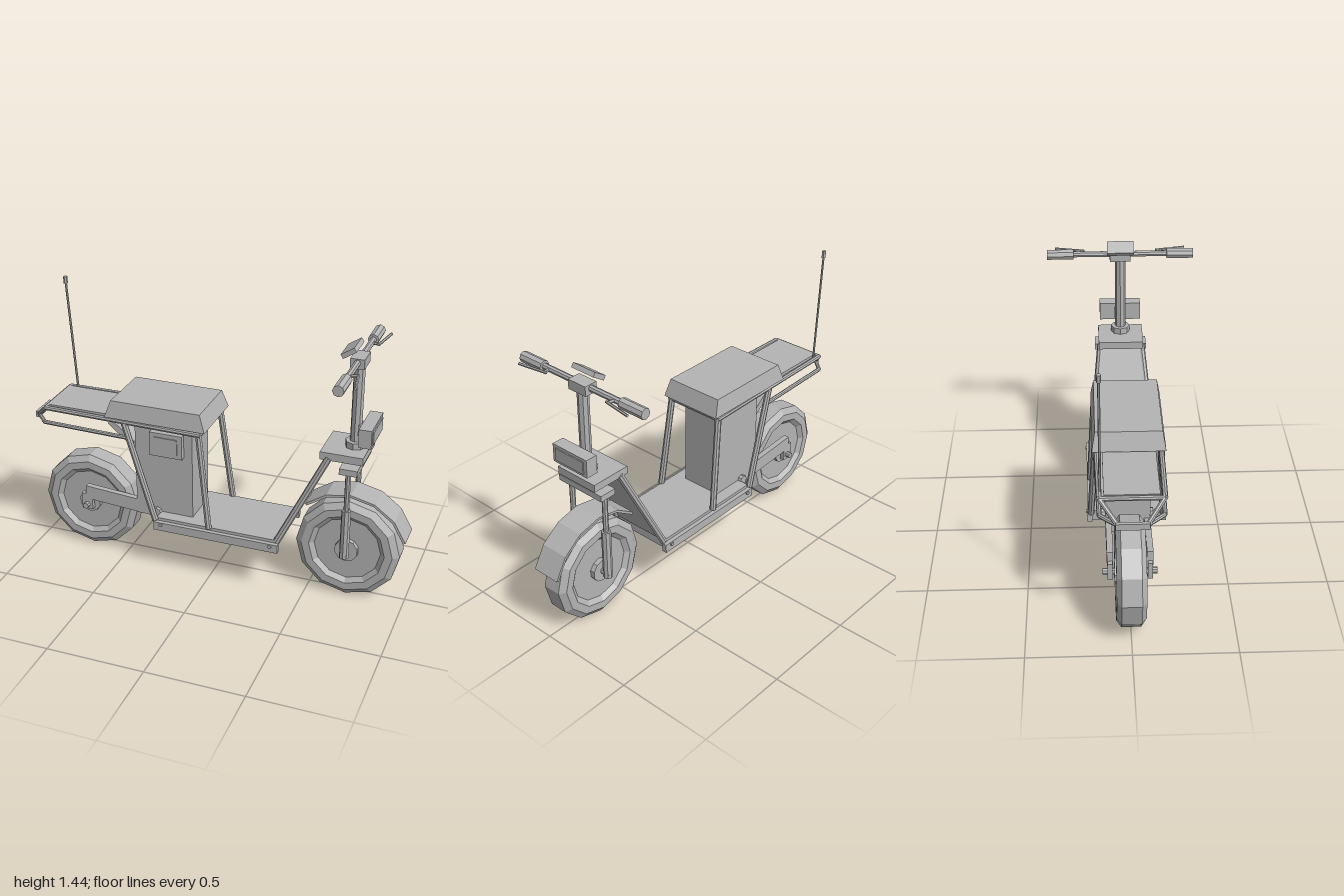
import * as THREE from 'three';

const grey = new THREE.MeshStandardMaterial({ color: 0xb4b4b4, flatShading: true });
grey.name = 'plain grey';

export function createModel() {
  const model = new THREE.Group();
  model.name = 'scooter';

  const add = (name, geo, parent = model) => {
    const m = new THREE.Mesh(geo, grey);
    m.name = name;
    parent.add(m);
    return m;
  };

  // Box given by its limits on each axis
  const box = (name, x0, x1, y0, y1, z0, z1) => {
    const m = add(name, new THREE.BoxGeometry(x1 - x0, y1 - y0, z1 - z0));
    m.position.set((x0 + x1) / 2, (y0 + y1) / 2, (z0 + z1) / 2);
    return m;
  };

  // Box whose top is scaled by sx and sz
  const tapered = (w, h, d, sx, sz) => {
    const g = new THREE.BoxGeometry(w, h, d);
    const p = g.attributes.position;
    for (let i = 0; i < p.count; i++) {
      if (p.getY(i) > 0) {
        p.setX(i, p.getX(i) * sx);
        p.setZ(i, p.getZ(i) * sz);
      }
    }
    return g;
  };

  // Round bar between two points
  const bar = (name, a, b, r, sides = 8) => {
    const from = new THREE.Vector3(...a), to = new THREE.Vector3(...b);
    const dir = to.clone().sub(from);
    const m = add(name, new THREE.CylinderGeometry(r, r, dir.length(), sides));
    m.position.copy(from).add(to).multiplyScalar(0.5);
    m.quaternion.setFromUnitVectors(new THREE.Vector3(0, 1, 0), dir.normalize());
    return m;
  };

  // Wheels: faceted tyre, recessed disc, hub and axle
  const tyreProfile = [
    [0.165, -0.045], [0.195, -0.07], [0.235, -0.07], [0.267, -0.047],
    [0.267, 0.047], [0.235, 0.07], [0.195, 0.07], [0.165, 0.045],
  ].map(([r, y]) => new THREE.Vector2(r, y));
  for (const [name, x] of [['rearWheel', -0.71], ['frontWheel', 0.7]]) {
    const wheel = new THREE.Group();
    wheel.name = name;
    wheel.position.set(x, 0.267, 0);
    wheel.rotation.x = Math.PI / 2;
    add('tyre', new THREE.LatheGeometry(tyreProfile, 12), wheel);
    add('rimDisc', new THREE.CylinderGeometry(0.175, 0.175, 0.1, 12), wheel);
    add('hub', new THREE.CylinderGeometry(0.06, 0.06, 0.15, 10), wheel);
    add('axle', new THREE.CylinderGeometry(0.016, 0.016, 0.26, 8), wheel);
    model.add(wheel);
  }

  // Front mudguard: five-sided arc strip
  const arc = new THREE.Shape();
  const start = THREE.MathUtils.degToRad(18), end = THREE.MathUtils.degToRad(135);
  for (let i = 0; i <= 11; i++) {
    const outer = i < 6;
    const t = (outer ? i : 11 - i) / 5;
    const a = start + (end - start) * t, r = outer ? 0.31 : 0.297;
    const x = 0.7 + r * Math.cos(a), y = 0.275 + r * Math.sin(a);
    if (i === 0) arc.moveTo(x, y); else arc.lineTo(x, y);
  }
  const guard = new THREE.ExtrudeGeometry(arc, { depth: 0.15, bevelEnabled: false });
  add('frontMudguard', guard).position.z = -0.075;

  // Steering column, clamps and handlebar
  box('lowerForkClamp', 0.66, 0.75, 0.725, 0.757, -0.14, 0.14);
  box('headPlate', 0.556, 0.77, 0.78, 0.82, -0.12, 0.12);
  bar('headCollar', [0.7, 0.82, 0], [0.7, 0.853, 0], 0.05);
  bar('steererLower', [0.7, 0.74, 0], [0.7, 0.8, 0], 0.03);
  bar('steeringColumn', [0.7, 0.84, 0], [0.7, 1.27, 0], 0.028);
  box('handlebarClamp', 0.665, 0.735, 1.245, 1.295, -0.055, 0.055);
  bar('handlebar', [0.7, 1.275, -0.38], [0.7, 1.275, 0.38], 0.016);
  const display = add('displayPanel', new THREE.BoxGeometry(0.075, 0.024, 0.14));
  display.position.set(0.66, 1.323, 0);
  display.rotation.z = 0.58;

  // Headlight with a raised lens
  box('headlight', 0.738, 0.802, 0.87, 0.965, -0.11, 0.11);
  box('headlightLens', 0.802, 0.808, 0.885, 0.95, -0.09, 0.09);
  box('headlightBracket', 0.715, 0.74, 0.89, 0.945, -0.03, 0.03);

  // Floor deck and tray beneath
  box('floorDeck', -0.28, 0.36, 0.255, 0.312, -0.175, 0.175);
  box('underTray', -0.235, 0.283, 0.232, 0.256, -0.13, 0.13);

  // Leg shield
  const shield = add('legShield', tapered(0.018, 0.53, 0.32, 1, 0.68));
  shield.position.set(0.475, 0.545, 0);
  shield.rotation.z = -Math.atan2(0.23, 0.47);

  // Battery case with a side hatch, and seat
  box('batteryCase', -0.417, -0.105, 0.28, 0.82, -0.11, 0.11);
  box('caseHatch', -0.325, -0.15, 0.65, 0.78, 0.105, 0.14);
  box('hatchPanel', -0.3, -0.175, 0.672, 0.758, 0.14, 0.146);
  add('seat', tapered(0.54, 0.09, 0.345, 0.885, 0.91)).position.set(-0.285, 0.882, 0);
  box('seatBase', -0.48, -0.05, 0.805, 0.84, -0.14, 0.14);

  // Parts mirrored on both sides
  for (const s of [1, -1]) {
    bar('forkLower', [0.7, 0.25, 0.11 * s], [0.7, 0.52, 0.11 * s], 0.024);
    bar('forkUpper', [0.7, 0.5, 0.11 * s], [0.7, 0.74, 0.11 * s], 0.014);
    bar('handGrip', [0.7, 1.275, 0.247 * s], [0.7, 1.275, 0.387 * s], 0.028);
    bar('brakeLever', [0.74, 1.277, 0.19 * s], [0.768, 1.28, 0.345 * s], 0.007, 6);
    bar('leverMount', [0.7, 1.275, 0.21 * s], [0.745, 1.277, 0.2 * s], 0.008, 6);
    bar('shieldTube', [0.365, 0.3, 0.165 * s], [0.6, 0.79, 0.11 * s], 0.018);
    bar('seatTubeFront', [0.008, 0.31, 0.18 * s], [-0.053, 0.815, 0.155 * s], 0.017);
    bar('seatTubeRear', [-0.285, 0.3, 0.18 * s], [-0.455, 0.815, 0.155 * s], 0.017);
    bar('topRail', [-0.9, 0.82, 0.145 * s], [-0.04, 0.817, 0.16 * s], 0.013);
    bar('rackDropTube', [-0.9, 0.82, 0.145 * s], [-0.985, 0.737, 0.065 * s], 0.012);
    bar('lowerRail', [-0.91, 0.737, 0.145 * s], [-0.425, 0.733, 0.155 * s], 0.011);
    bar('lowerRailTail', [-0.91, 0.737, 0.145 * s], [-0.985, 0.737, 0.065 * s], 0.011);
    box('floorRail', -0.29, 0.38, 0.25, 0.296, 0.185 * s - 0.012, 0.185 * s + 0.012);
    for (const x of [-0.25, 0.34])
      bar('railBolt', [x, 0.285, 0.19 * s], [x, 0.285, 0.204 * s], 0.01, 6);
    // Swing arm reaching back over the axle
    const arm = add('swingArm', new THREE.BoxGeometry(0.42, 0.075, 0.03));
    arm.position.set(-0.505, 0.327, 0.095 * s);
    arm.rotation.z = -0.07;
    box('axlePlate', -0.74, -0.68, 0.24, 0.33, 0.095 * s - 0.012, 0.095 * s + 0.012);
  }
  bar('swingArmPivot', [-0.3, 0.31, -0.13], [-0.3, 0.31, 0.13], 0.025);
  bar('seatCrossFront', [-0.053, 0.815, -0.155], [-0.053, 0.815, 0.155], 0.015);
  bar('seatCrossRear', [-0.455, 0.815, -0.155], [-0.455, 0.815, 0.155], 0.015);

  // Rear rack, rear brace plate and tail light
  box('rackPlate', -0.89, -0.5, 0.815, 0.832, -0.125, 0.125);
  bar('rackCross', [-0.9, 0.82, -0.145], [-0.9, 0.82, 0.145], 0.012);
  const brace = add('rearBrace', new THREE.BoxGeometry(0.2, 0.032, 0.2));
  brace.position.set(-0.485, 0.715, 0);
  brace.rotation.z = -0.7;
  box('tailLight', -1, -0.982, 0.72, 0.752, -0.075, 0.075);

  // Whip antenna
  bar('antenna', [-0.855, 0.82, -0.14], [-0.892, 1.4, -0.14], 0.006, 6);
  bar('antennaTip', [-0.892, 1.4, -0.14], [-0.894, 1.436, -0.14], 0.011, 6);

  return model;
}
